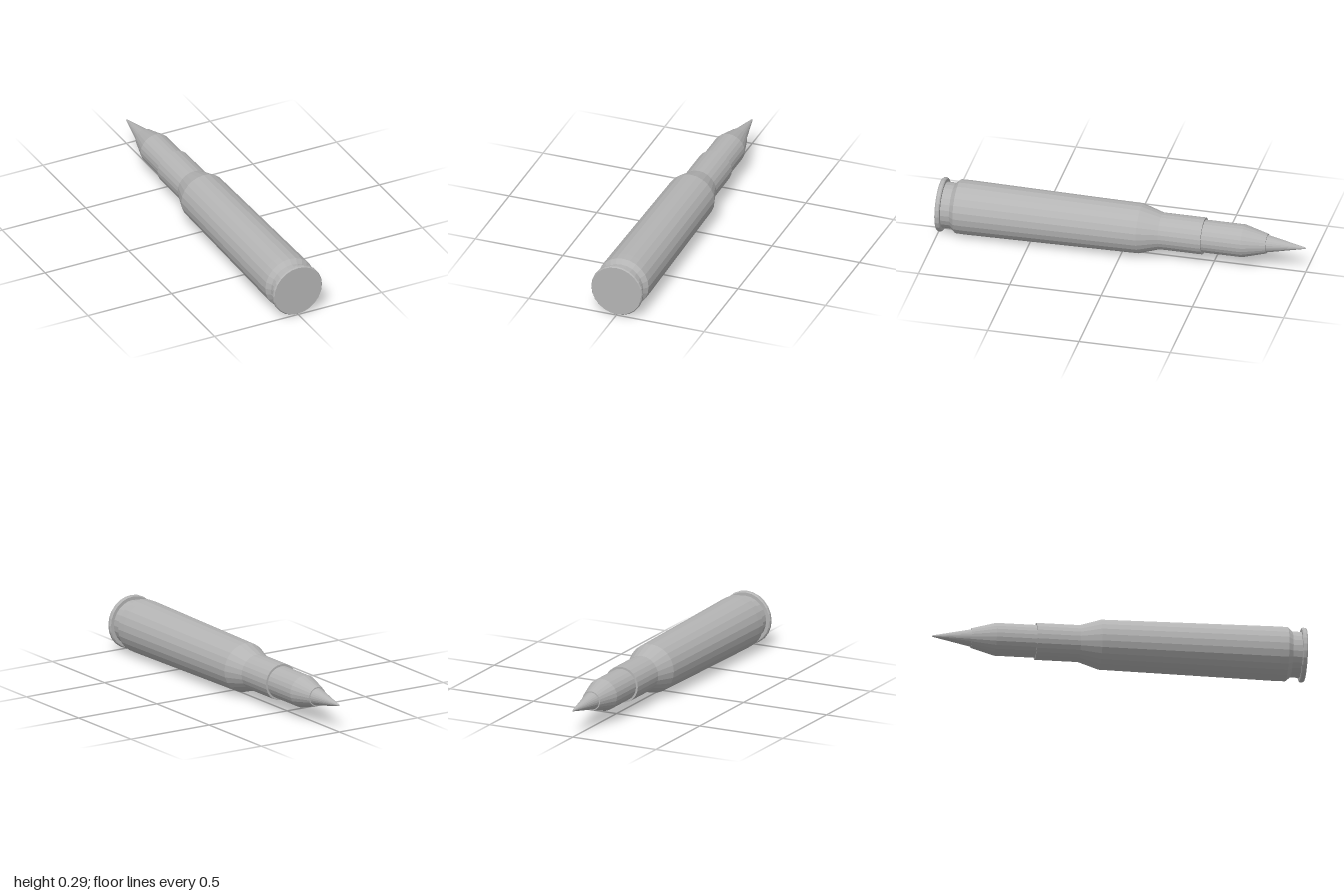
import * as THREE from 'three';

const SIDES = 24;
const AXIS_HEIGHT = 0.146;

// Faceted solid of revolution lying along z, from [radius, z] points listed front (+z) to back
function turned(name, points, material) {
  const profile = points.map(([r, z]) => new THREE.Vector2(r, -z));
  const geometry = new THREE.LatheGeometry(profile, SIDES).toNonIndexed();
  geometry.rotateX(-Math.PI / 2);
  geometry.computeVertexNormals();
  const mesh = new THREE.Mesh(geometry, material);
  mesh.name = name;
  mesh.position.y = AXIS_HEIGHT;
  return mesh;
}

export function createModel() {
  const metal = new THREE.MeshStandardMaterial({ color: 0xb4b4b4 });
  metal.name = 'grey metal';

  const model = new THREE.Group();
  model.name = 'cartridge';

  // Flat base with a thin chamfered rim
  model.add(turned('rim', [
    [0, 1], [0.141, 1], [0.146, 0.993], [0.146, 0.98], [0.141, 0.974], [0.123, 0.974],
  ], metal));

  // Extractor groove, tapered body, shoulder, neck and open mouth lip
  model.add(turned('case', [
    [0.123, 0.974], [0.123, 0.925], [0.145, 0.9], [0.146, 0.85],
    [0.134, -0.1], [0.099, -0.212], [0.099, -0.445], [0.088, -0.445],
  ], metal));

  // Straight shank and tapered nose, ending in a small ledge
  model.add(turned('bullet', [
    [0.088, -0.445], [0.088, -0.662], [0.053, -0.79], [0.047, -0.79],
  ], metal));

  // Slim pointed tip
  model.add(turned('tip', [
    [0.047, -0.79], [0.004, -0.997], [0, -1],
  ], metal));

  return model;
}
